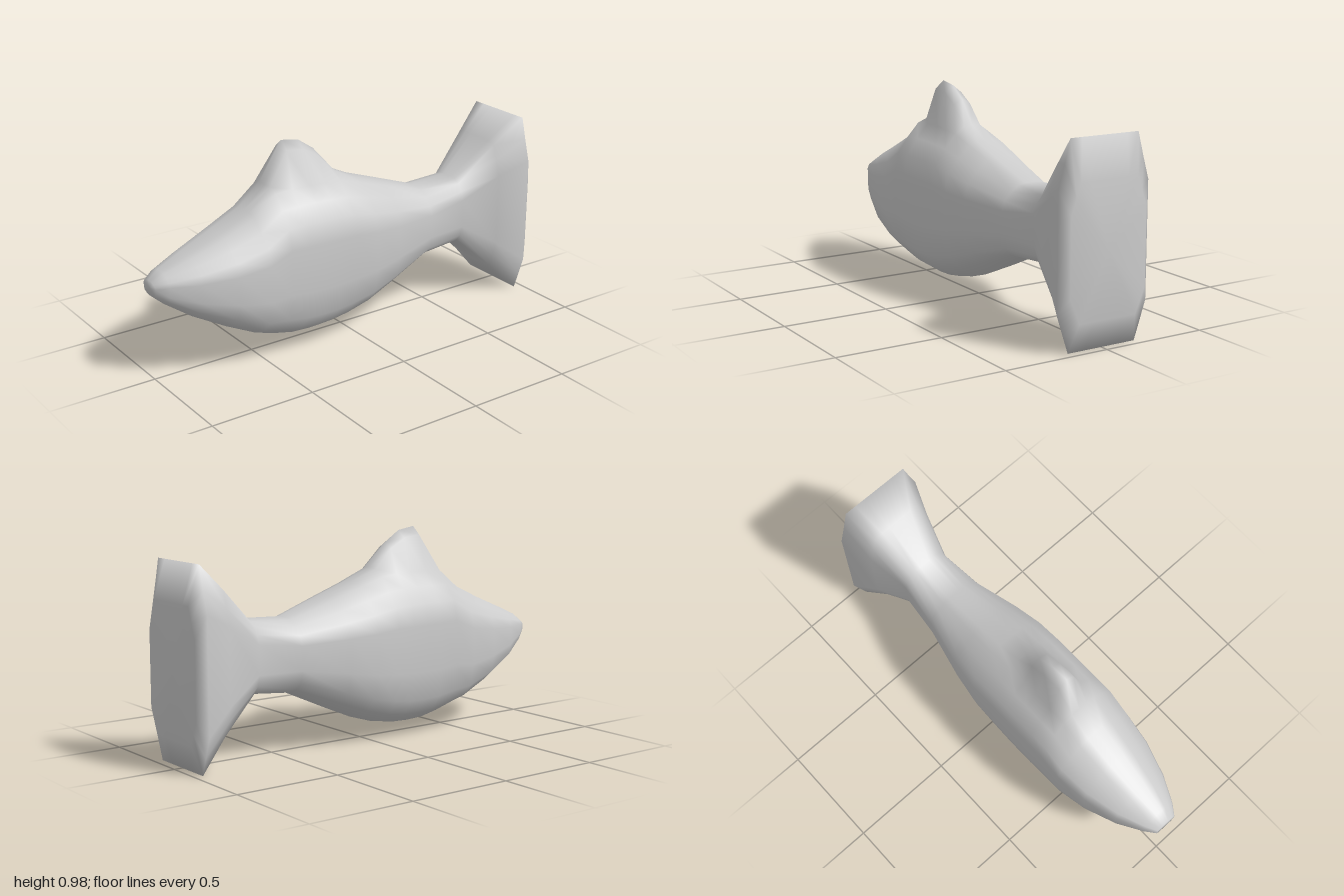
import * as THREE from 'three';

// Half outlines, bottom centre to top centre: [x / half width, y / height]
const BODY = [[0, 0], [.33, .018], [.66, .08], [.91, .18], [1, .36],
  [1, .66], [.91, .79], [.66, .89], [.41, .98], [.2, 1], [0, 1]];
const TAIL = [[0, 0], [.37, 0], [.75, 0], [.87, .09], [1, .19],
  [1, .77], [.87, .885], [.75, 1], [.5, 1], [.25, 1], [0, 1]];

// Sections from nose to tail: z, bottom, top, half width, tail blend, fin height
const SECTIONS = [
  [1, .405, .475, .055, 0, 0],
  [.95, .36, .51, .09, 0, 0],
  [.83, .275, .56, .15, 0, 0],
  [.67, .185, .625, .2, 0, 0],
  [.52, .11, .695, .22, 0, 0],
  [.41, .075, .785, .22, 0, .005],
  [.32, .055, .79, .22, 0, .19],
  [.23, .05, .79, .22, 0, .175],
  [.15, .053, .785, .22, 0, .125],
  [.06, .068, .775, .22, 0, .025],
  [-.06, .105, .738, .22, 0, 0],
  [-.2, .165, .69, .2, 0, 0],
  [-.43, .268, .61, .15, .1, 0],
  [-.64, .288, .62, .125, .4, 0],
  [-.82, .135, .785, .175, .85, 0],
  [-.96, 0, .895, .228, 1, 0],
  [-1, .13, .72, .19, 1, 0],
];

function ring([z, bottom, top, width, blend, fin]) {
  const half = BODY.map(([bx, by], i) => {
    const x = THREE.MathUtils.lerp(bx, TAIL[i][0], blend) * width;
    const y = THREE.MathUtils.lerp(by, TAIL[i][1], blend) * (top - bottom) + bottom;
    // The dorsal fin lifts the two points nearest the ridge
    const lift = i === 10 ? fin : i === 9 ? fin * .8 : 0;
    return [x, y + lift, z];
  });
  const mirrored = half.slice(1, -1).reverse().map(([x, y]) => [-x, y, z]);
  return [...half, ...mirrored];
}

function loft(sections) {
  const rings = sections.map(ring);
  const n = rings[0].length;
  const last = rings.length - 1;
  const points = rings.flat();
  const index = [];
  for (let i = 0; i < last; i++) {
    for (let j = 0; j < n; j++) {
      const a = i * n + j, b = i * n + (j + 1) % n;
      index.push(a, a + n, b, b, a + n, b + n);
    }
  }
  // Close the nose and the back of the tail
  for (const i of [0, last]) {
    const [z, bottom, top] = sections[i];
    const centre = points.push([0, (bottom + top) / 2, z]) - 1;
    for (let j = 0; j < n; j++) {
      const a = i * n + j, b = i * n + (j + 1) % n;
      index.push(centre, ...(i === 0 ? [a, b] : [b, a]));
    }
  }
  const geometry = new THREE.BufferGeometry();
  geometry.setAttribute('position', new THREE.Float32BufferAttribute(points.flat(), 3));
  geometry.setIndex(index);
  geometry.computeVertexNormals();
  return geometry;
}

export function createModel() {
  const group = new THREE.Group();
  group.name = 'fish';
  // One continuous skin: body, dorsal fin and flared tail
  const body = new THREE.Mesh(loft(SECTIONS), new THREE.MeshStandardMaterial({ color: 0xcccccc }));
  body.name = 'bodyWithFinAndTail';
  group.add(body);
  return group;
}
